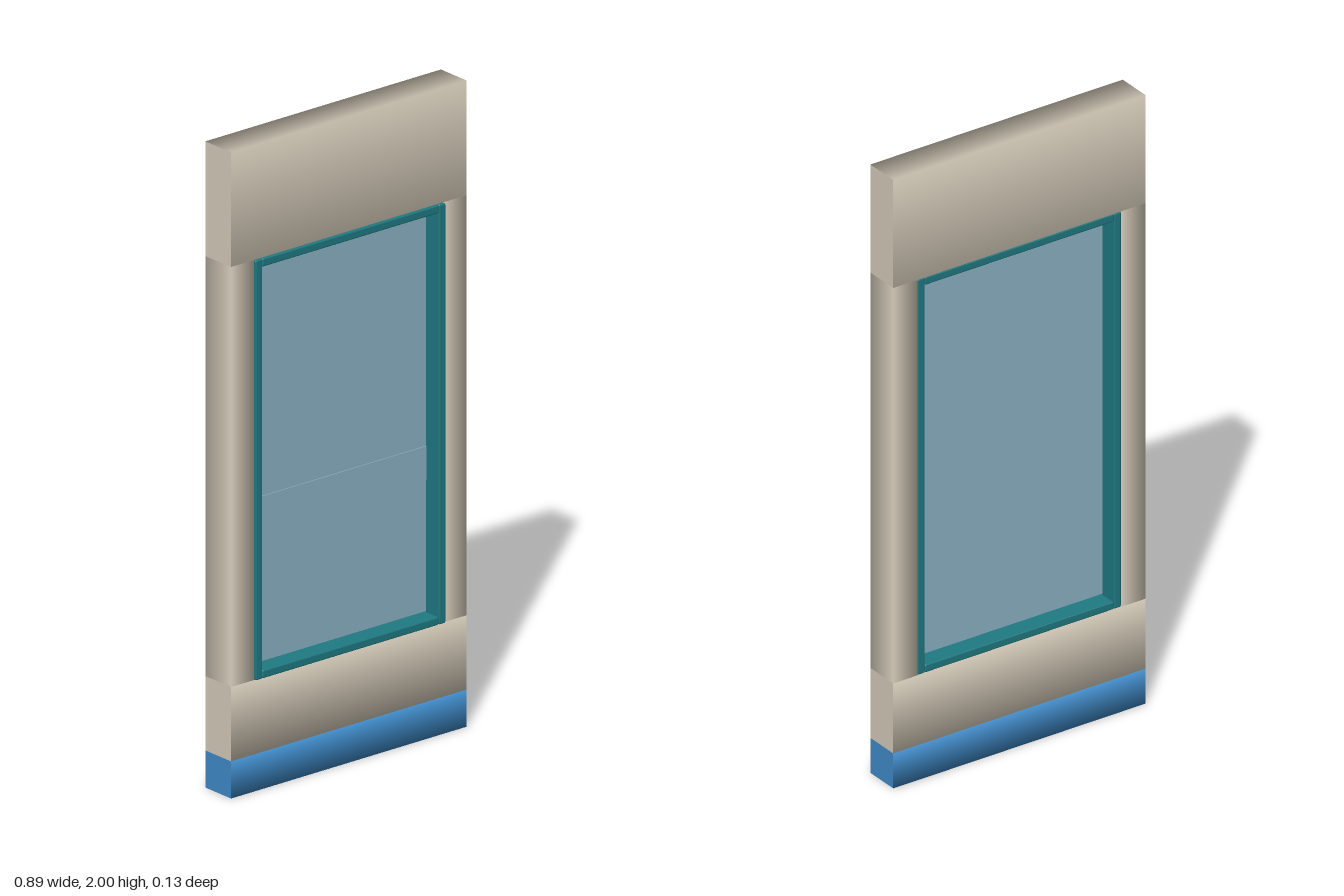
import * as THREE from 'three';
import { RoundedBoxGeometry } from 'three/addons/geometries/RoundedBoxGeometry.js';

const mat = (name, color) => {
  const m = new THREE.MeshStandardMaterial({ color });
  m.name = name;
  return m;
};

export function createModel() {
  const cream = mat('cream wall', 0xd6ccba);
  const blue = mat('blue skirting', 0x3f8ccb);
  const teal = mat('teal frame', 0x1f7a83);
  const glass = mat('pale blue glass', 0x8cb3c5);

  const group = new THREE.Group();
  group.name = 'windowPanel';

  const add = (name, geometry, material, x, y, z) => {
    const mesh = new THREE.Mesh(geometry, material);
    mesh.name = name;
    mesh.position.set(x, y, z);
    group.add(mesh);
  };

  // Four-sided bar with smooth normals around its length and flat ends
  const bar = (w, h, d, alongX) => {
    const g = new THREE.CylinderGeometry(Math.SQRT1_2, Math.SQRT1_2, 1, 4);
    g.rotateY(Math.PI / 4);
    if (alongX) g.rotateZ(Math.PI / 2);
    return g.scale(w, h, d);
  };

  const W = 0.89, D = 0.115, Z = -0.0055;
  const sillTop = 0.345, headBottom = 1.645, skirtTop = 0.115;
  const openH = headBottom - sillTop, midY = (headBottom + sillTop) / 2;

  // Wall panels above and below the opening
  add('skirting', bar(W, skirtTop, D, true), blue, 0, skirtTop / 2, Z);
  add('lowerPanel', bar(W, sillTop - skirtTop, D, true), cream, 0, (sillTop + skirtTop) / 2, Z);
  add('upperPanel', bar(W, 2 - headBottom, D, true), cream, 0, (2 + headBottom) / 2, Z);

  // Posts and frame stiles, mirrored
  const F = 0.026, FD = 0.126, FZ = -0.0015, outer = 0.359;
  for (const [side, s] of [['left', 1], ['right', -1]]) {
    add(side + 'Post', bar(W / 2 - outer, openH, D, false), cream, s * (W / 2 + outer) / 2, midY, Z);
    add(side + 'FrameStile', new RoundedBoxGeometry(F, openH, FD, 1, 0.005), teal,
      s * (outer - F / 2), midY, FZ);
  }

  // Frame rails between the stiles
  const innerW = 2 * (outer - F);
  for (const [name, y] of [['topFrameRail', headBottom - F / 2], ['bottomFrameRail', sillTop + F / 2]]) {
    add(name, new RoundedBoxGeometry(innerW, F, FD, 1, 0.005), teal, 0, y, FZ);
  }

  // Recessed pane with a slightly raised band on the front
  add('windowPane', new THREE.BoxGeometry(innerW, openH - 2 * F, 0.008), glass, 0, midY, -0.002);
  add('paneBand', new THREE.BoxGeometry(innerW, 0.105, 0.004), glass, 0, 0.83, 0.003);

  return group;
}
